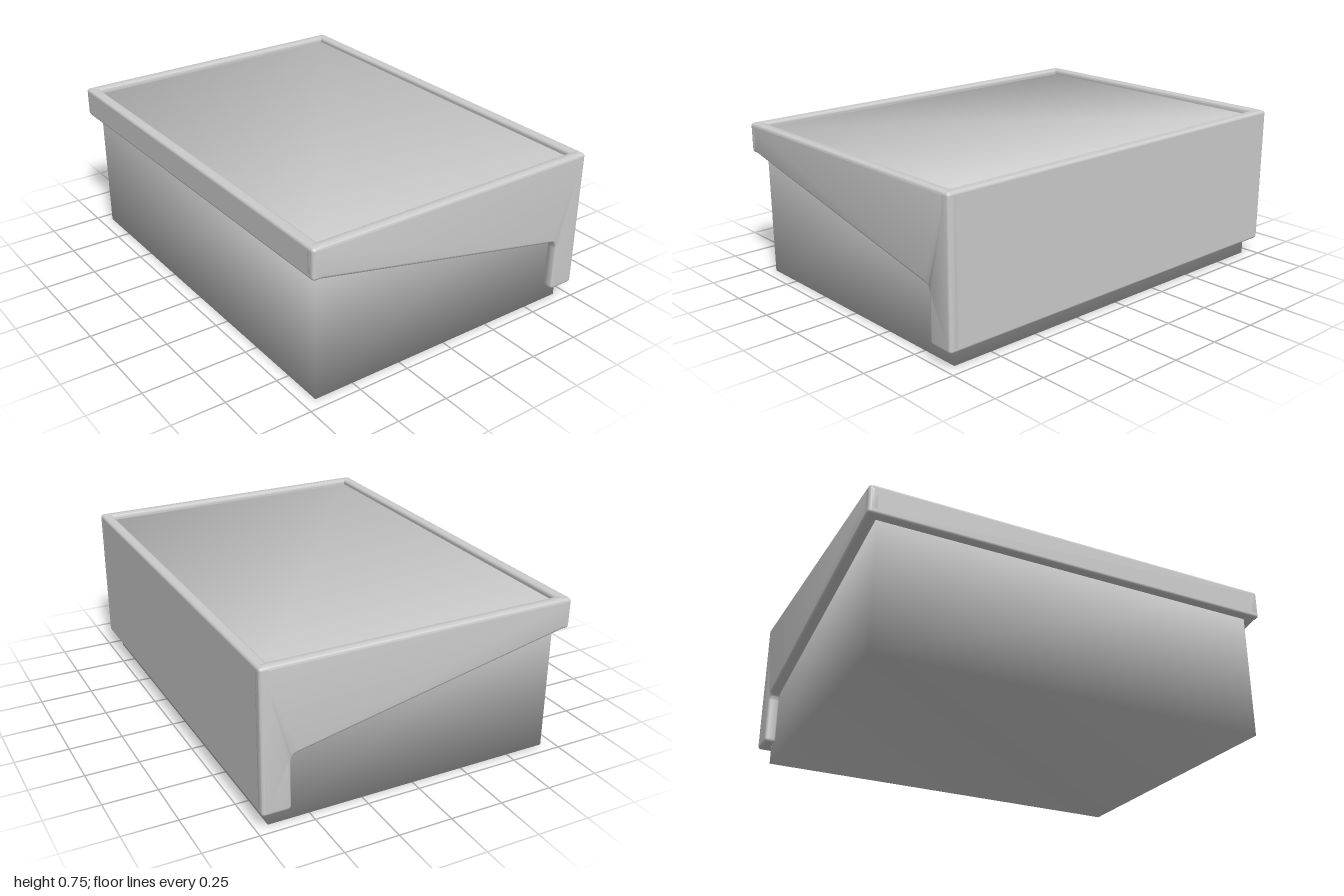
import * as THREE from 'three';
import { RoundedBoxGeometry } from 'three/addons/geometries/RoundedBoxGeometry.js';
import { mergeVertices, toCreasedNormals } from 'three/addons/utils/BufferGeometryUtils.js';

const W = 2, D = 1.475, TOP = 0.745, WALL = 0.053, R = 0.015;
const material = new THREE.MeshStandardMaterial({ color: 0xcccccc });

function add(group, name, geometry, x = 0, y = 0, z = 0) {
  const mesh = new THREE.Mesh(geometry, material);
  mesh.name = name;
  mesh.position.set(x, y, z);
  group.add(mesh);
  return mesh;
}

// Closed polygon of [z, y, radius] corners, each corner rounded off
function roundedShape(corners) {
  const shape = new THREE.Shape();
  const n = corners.length;
  corners.forEach(([x, y, r], i) => {
    const p = new THREE.Vector2(x, y);
    const toward = (c) => new THREE.Vector2(c[0], c[1]).sub(p).setLength(r).add(p);
    const a = toward(corners[(i + n - 1) % n]);
    const b = toward(corners[(i + 1) % n]);
    if (i === 0) shape.moveTo(a.x, a.y);
    else shape.lineTo(a.x, a.y);
    shape.quadraticCurveTo(x, y, b.x, b.y);
  });
  shape.closePath();
  return shape;
}

// Side of the cover: shallow at the front, sloping down to a deep leg at the back
function sideGeometry() {
  const back = -D / 2, front = D / 2;
  const shape = roundedShape([
    [back, 0.08, 0.02],
    [-0.605, 0.08, 0.02],
    [-0.605, 0.331, 0.03],
    [front, 0.61, 0.02],
    [front, TOP, 0.02],
    [back, TOP, 0.02],
  ]);
  const geometry = new THREE.ExtrudeGeometry(shape, {
    depth: WALL - 2 * R, bevelEnabled: true, bevelThickness: R, bevelSize: R,
    bevelOffset: -R, bevelSegments: 4, curveSegments: 6,
  });
  geometry.translate(0, 0, -(WALL - 2 * R) / 2);
  geometry.rotateY(-Math.PI / 2);
  return toCreasedNormals(geometry, 0.6);
}

// Closed inner box with normals shared across its edges
function boxGeometry() {
  const geometry = new THREE.BoxGeometry(1.38, 0.72, 1.89);
  geometry.rotateY(Math.PI / 2);
  geometry.deleteAttribute('normal');
  geometry.deleteAttribute('uv');
  const merged = mergeVertices(geometry);
  merged.computeVertexNormals();
  return merged;
}

export function createModel() {
  const model = new THREE.Group();
  model.name = 'coveredBox';

  add(model, 'innerBox', boxGeometry(), 0, 0.36, 0);

  // Sleeve around the upper part of the box
  const cover = new THREE.Group();
  cover.name = 'cover';
  model.add(cover);

  const side = sideGeometry();
  add(cover, 'leftSide', side, W / 2 - WALL / 2);
  add(cover, 'rightSide', side, -W / 2 + WALL / 2);

  const bar = (name, bottom, z) => add(
    cover, name,
    new RoundedBoxGeometry(W, TOP - bottom, WALL, 4, R),
    0, (TOP + bottom) / 2, z,
  );
  bar('frontRail', 0.603, D / 2 - WALL / 2);
  bar('backWall', 0.08, -D / 2 + WALL / 2);

  return model;
}
